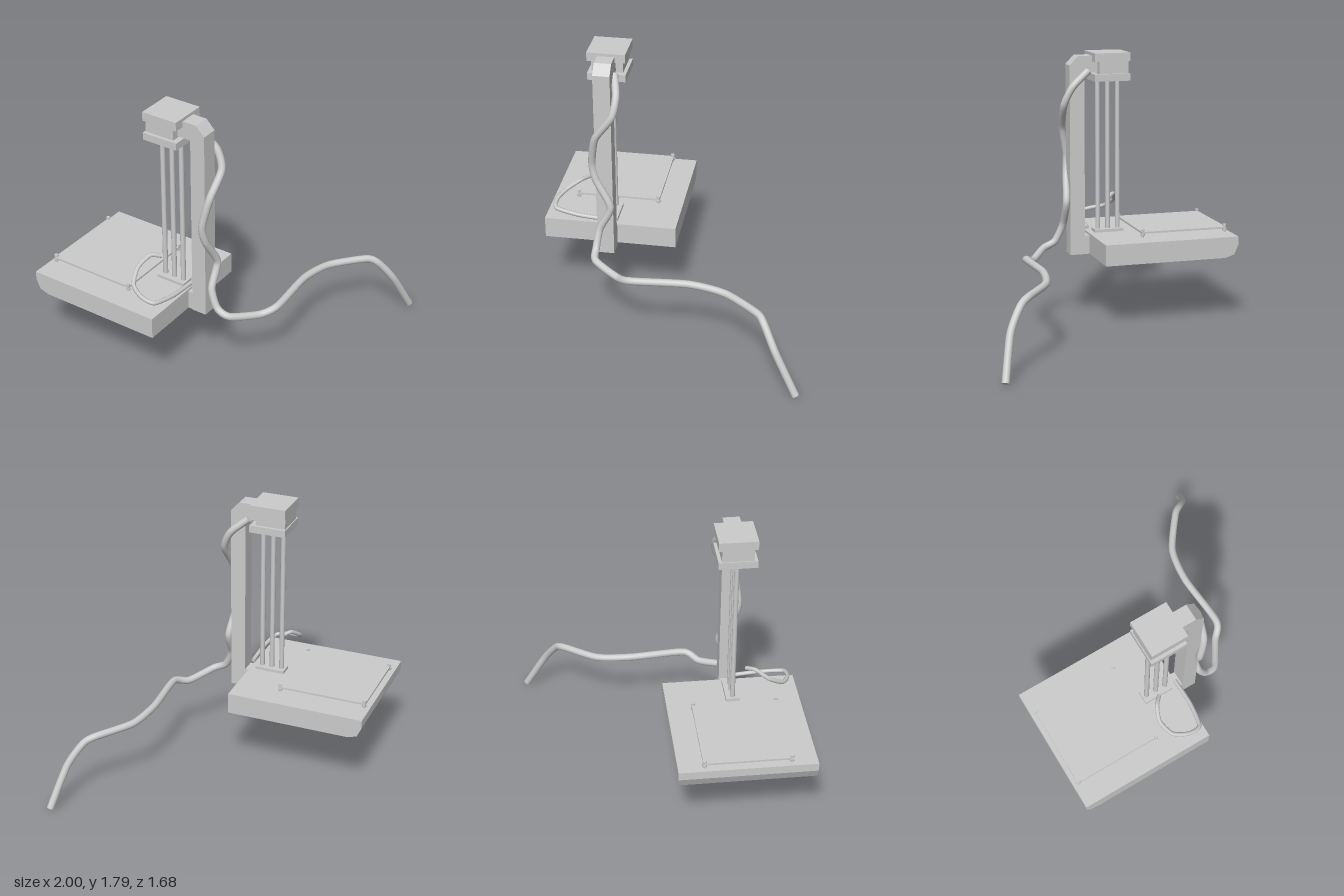
import * as THREE from 'three';

const grey = new THREE.MeshStandardMaterial({ color: 0xcccccc });
const v = (p) => new THREE.Vector3(...p);

function add(parent, name, geometry, x = 0, y = 0, z = 0) {
  const mesh = new THREE.Mesh(geometry, grey);
  mesh.name = name;
  mesh.position.set(x, y, z);
  parent.add(mesh);
  return mesh;
}

// Box given by its centre in x and z and its bottom and top heights
function block(parent, name, w, d, y0, y1, x, z) {
  return add(parent, name, new THREE.BoxGeometry(w, y1 - y0, d), x, (y0 + y1) / 2, z);
}

// Side profile in (z, y), extruded symmetrically across x
function sideProfile(parent, name, points, width) {
  const shape = new THREE.Shape(points.map(([z, y]) => new THREE.Vector2(z, y)));
  const geo = new THREE.ExtrudeGeometry(shape, { depth: width, bevelEnabled: false });
  geo.translate(0, 0, -width / 2).rotateY(-Math.PI / 2);
  return add(parent, name, geo);
}

// Tube with closed ends
function cable(parent, name, points, radius, sides) {
  const group = new THREE.Group();
  group.name = name;
  parent.add(group);
  const curve = new THREE.CatmullRomCurve3(points.map(v), false, 'catmullrom', 0.35);
  add(group, name + 'Run', new THREE.TubeGeometry(curve, 140, radius, sides));
  for (const t of [0, 1]) {
    const p = curve.getPoint(t);
    const cap = add(group, name + 'End', new THREE.CircleGeometry(radius, sides), p.x, p.y, p.z);
    cap.lookAt(p.clone().addScaledVector(curve.getTangent(t), t ? 1 : -1));
  }
}

export function createModel() {
  const model = new THREE.Group();

  // The machine stands turned slightly; the loose cables use model coordinates
  const machine = new THREE.Group();
  machine.name = 'machine';
  machine.position.set(-0.51, 0, -0.325);
  machine.rotation.y = 0.135;
  model.add(machine);

  // Base slab with a bevelled lower rear edge
  sideProfile(machine, 'base', [
    [0.459, 0.44], [0.459, 0.58], [-0.459, 0.58], [-0.459, 0.525], [-0.43, 0.46], [-0.37, 0.44],
  ].reverse(), 0.868);

  // Column with a chamfered top and an arm that reaches the head
  sideProfile(machine, 'column', [
    [0.592, 0.44], [0.592, 1.71], [0.535, 1.77], [0.38, 1.77], [0.38, 1.66], [0.492, 1.66], [0.492, 0.44],
  ].reverse(), 0.108);
  block(machine, 'columnBridge', 0.1, 0.06, 0.44, 0.565, 0, 0.475);

  // Head: two square plates around a smaller core
  const headZ = 0.318;
  block(machine, 'headTopPlate', 0.243, 0.243, 1.733, 1.79, 0, headZ);
  block(machine, 'headCore', 0.2, 0.2, 1.652, 1.733, 0, headZ - 0.015);
  block(machine, 'headBottomPlate', 0.243, 0.243, 1.605, 1.652, 0, headZ);

  // Guide rods and their foot plate
  block(machine, 'rodFoot', 0.09, 0.2, 0.58, 0.6, 0, headZ);
  for (const dz of [-0.069, 0, 0.069]) {
    add(machine, 'guideRod', new THREE.CylinderGeometry(0.016, 0.016, 1.01, 20), 0, 1.103, headZ + dz);
  }

  // Bed plate on a shallow dish, with a screw at each corner
  const bedZ = -0.133;
  block(machine, 'bed', 0.556, 0.594, 0.604, 0.617, 0, bedZ);
  add(machine, 'bedDish', new THREE.CylinderGeometry(0.17, 0.08, 0.024, 40), 0, 0.592, bedZ);
  for (const sx of [-1, 1]) {
    for (const sz of [-1, 1]) {
      const x = sx * 0.27, z = bedZ + sz * 0.289;
      add(machine, 'bedScrew', new THREE.CylinderGeometry(0.007, 0.007, 0.055, 10), x, 0.6065, z);
      add(machine, 'bedScrewHead', new THREE.CylinderGeometry(0.013, 0.013, 0.012, 12), x, 0.628, z);
      add(machine, 'bedNut', new THREE.CylinderGeometry(0.016, 0.016, 0.012, 6), x, 0.598, z);
    }
  }

  // Main cable winds down the column and trails to the ground
  cable(model, 'mainCable', [
    [-0.39, 1.67, 0.13], [-0.345, 1.57, 0.24], [-0.36, 1.45, 0.295], [-0.47, 1.29, 0.295],
    [-0.505, 1.1, 0.265], [-0.48, 0.98, 0.27], [-0.385, 0.8, 0.28], [-0.455, 0.64, 0.295],
    [-0.465, 0.52, 0.35], [-0.44, 0.48, 0.43], [-0.26, 0.443, 0.52], [-0.15, 0.475, 0.575],
    [0.2, 0.475, 0.505], [0.44, 0.46, 0.515], [0.68, 0.447, 0.645], [0.74, 0.41, 0.7],
    [0.83, 0.27, 0.77], [0.975, 0.012, 0.815],
  ], 0.024, 16);

  // Thin lead looping out over the base and ending in the air
  cable(model, 'loopLead', [
    [-0.46, 0.61, 0.13], [-0.65, 0.625, 0.155], [-0.81, 0.645, 0.145], [-0.835, 0.665, 0.06],
    [-0.8, 0.69, -0.04], [-0.71, 0.75, -0.09], [-0.62, 0.805, -0.07], [-0.56, 0.79, -0.03],
  ], 0.014, 8);

  return model;
}
